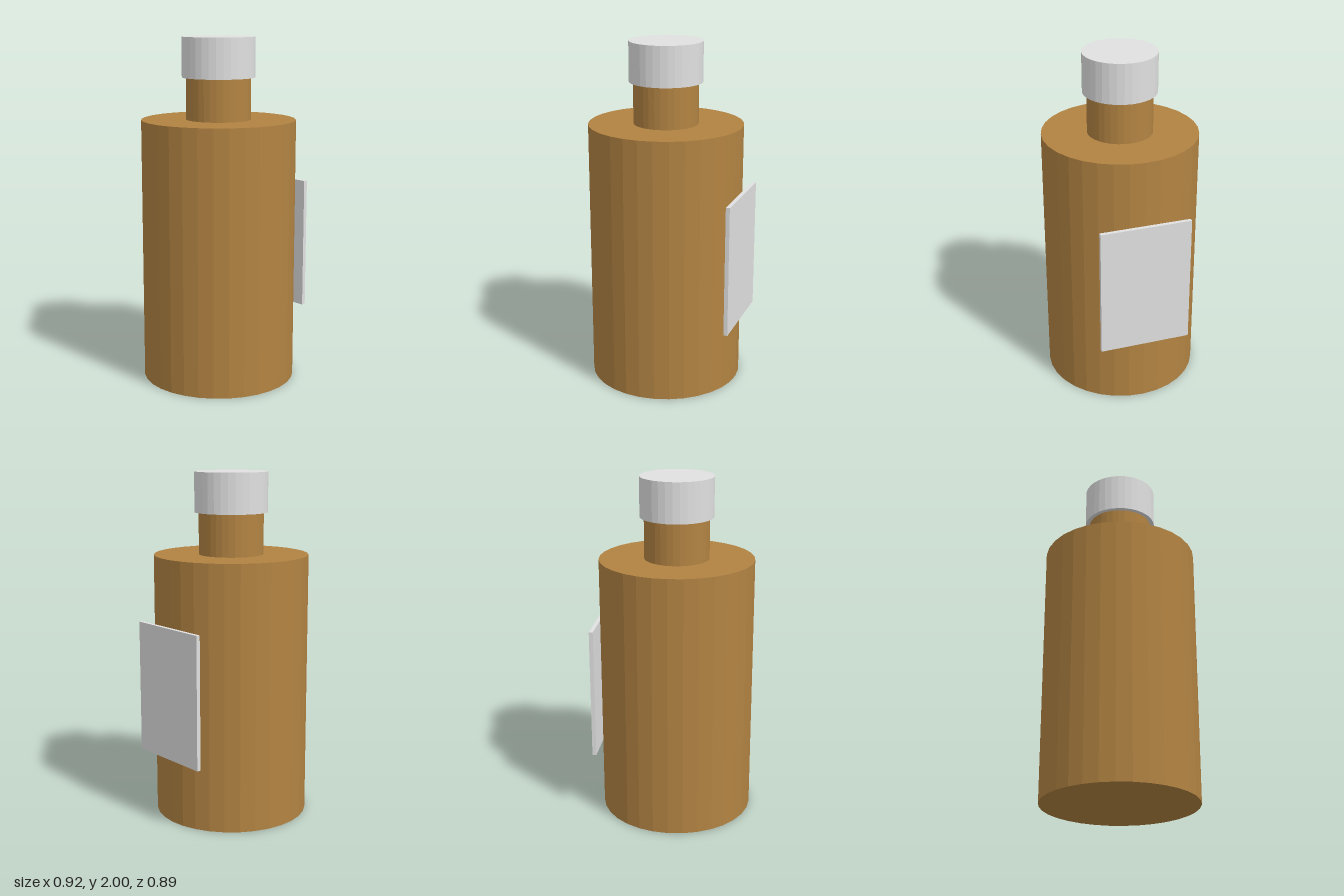
import * as THREE from 'three';

const SIDES = 32;
const AXIS_X = -0.0115;

export function createModel() {
  const amber = new THREE.MeshStandardMaterial({ color: 0xb28342 });
  amber.name = 'amber';
  const paleGrey = new THREE.MeshStandardMaterial({ color: 0xe0e0e0 });
  paleGrey.name = 'pale grey';
  amber.flatShading = paleGrey.flatShading = true;

  const model = new THREE.Group();
  model.name = 'bottle';

  const add = (name, geometry, material, x, y) => {
    const mesh = new THREE.Mesh(geometry, material);
    mesh.name = name;
    mesh.position.set(x, y, 0);
    model.add(mesh);
  };

  // Upright faceted cylinder between two heights
  const cylinder = (name, radius, bottom, top, material) =>
    add(name, new THREE.CylinderGeometry(radius, radius, top - bottom, SIDES),
      material, AXIS_X, (bottom + top) / 2);

  cylinder('body', 0.446, 0, 1.53, amber);
  cylinder('neck', 0.187, 1.53, 1.77, amber);
  cylinder('cap', 0.211, 1.77, 2, paleGrey);

  // Flat label touching the bottle's left side
  add('label', new THREE.BoxGeometry(0.023, 0.765, 0.528), paleGrey, 0.446, 0.7675);

  return model;
}
